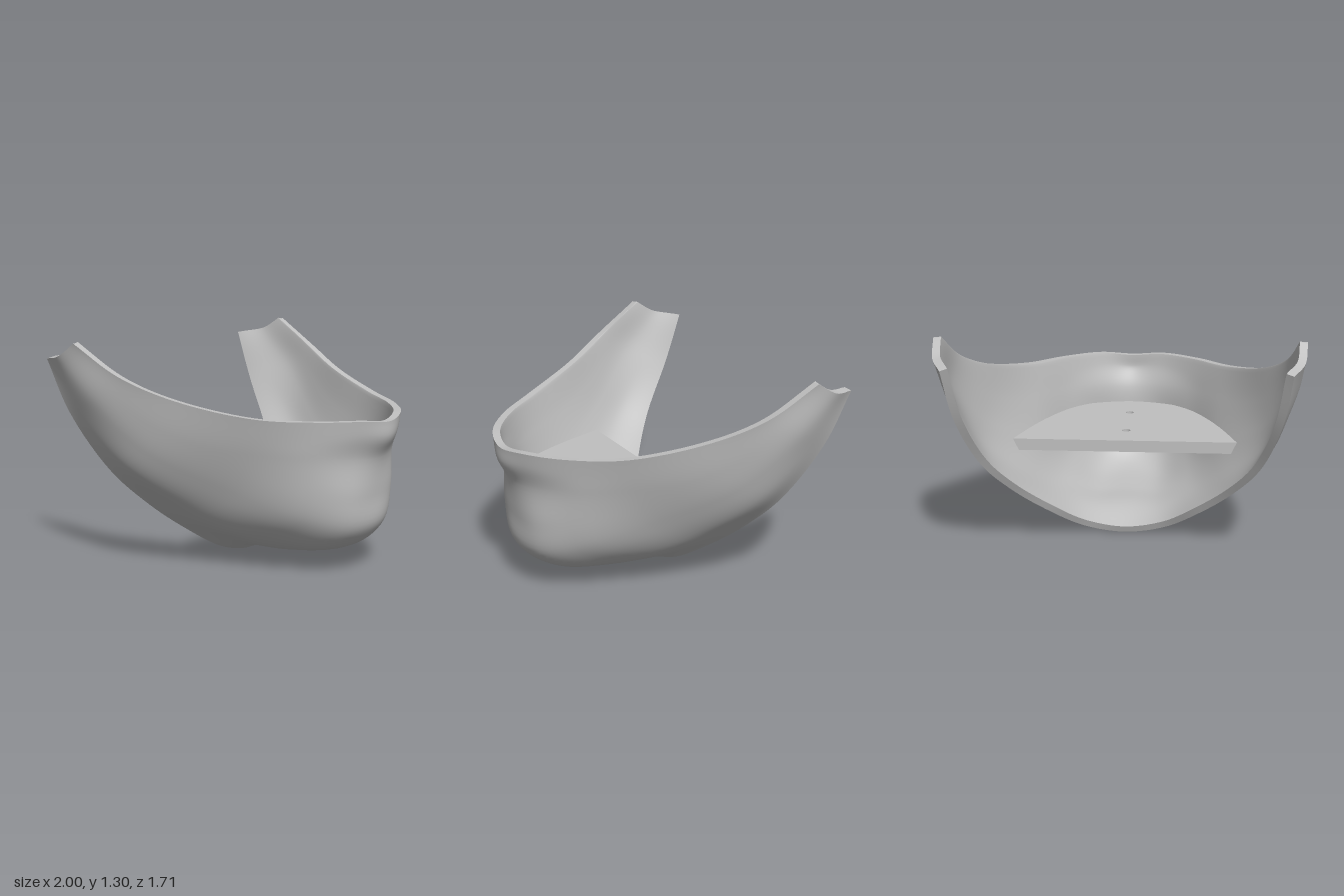
import * as THREE from 'three';

const grey = new THREE.MeshStandardMaterial({ color: 0xc0c0c0 });
grey.name = 'plain grey';

// Cross-sections of the outer skin on the left half, from the chin centre to
// the ear tip; each runs from the top rim down and back to the rear rim.
const SECTIONS = [
  [[0, .87, .85], [0, .78, .85], [0, .66, .795], [0, .45, .78], [0, .27, .77], [0, .145, .65], [0, .085, .35], [0, .07, .09], [0, 0, -.1]],
  [[.2, .89, .805], [.2, .8, .79], [.2, .67, .75], [.21, .46, .745], [.2, .27, .715], [.2, .15, .57], [.2, .095, .3], [.21, .085, .05], [.24, .05, -.135]],
  [[.42, .9, .645], [.41, .69, .605], [.385, .34, .53], [.4, .2, .2], [.46, .2, -.255]],
  [[.63, .92, .38], [.605, .72, .32], [.58, .49, .2], [.61, .37, -.05], [.64, .37, -.385]],
  [[.83, 1.01, 0], [.835, .84, -.09], [.84, .71, -.2], [.835, .62, -.34], [.775, .56, -.525]],
  [[.955, 1.13, -.28], [.963, .99, -.46], [.875, .88, -.725]],
  [[1, 1.295, -.56], [.98, 1.215, -.7], [.91, 1.185, -.86]],
];
const NU = 96, NV = 48, THICKNESS = 0.043;

// Smooth surface grid through the mirrored sections: grid[i][j], i from right to left
function outerGrid() {
  const mirrored = SECTIONS.slice(1).reverse().map(s => s.map(([x, y, z]) => [-x, y, z]));
  const curves = [...mirrored, ...SECTIONS].map(
    s => new THREE.CatmullRomCurve3(s.map(p => new THREE.Vector3(...p))));
  const grid = Array.from({ length: NU + 1 }, () => []);
  for (let j = 0; j <= NV; j++) {
    const across = new THREE.CatmullRomCurve3(curves.map(c => c.getPoint(j / NV)));
    for (let i = 0; i <= NU; i++) grid[i].push(across.getPoint(i / NU));
  }
  return grid;
}

// Indexed sheet from a grid of points, smooth within the sheet
function sheet(grid, flip = false) {
  const n = grid[0].length, index = [];
  for (let i = 0; i < grid.length - 1; i++) {
    for (let j = 0; j < n - 1; j++) {
      const a = i * n + j, b = a + 1, c = a + n, d = c + 1;
      if (flip) index.push(a, c, b, b, c, d);
      else index.push(a, b, c, b, d, c);
    }
  }
  const geo = new THREE.BufferGeometry().setFromPoints(grid.flat());
  geo.setIndex(index);
  geo.computeVertexNormals();
  return geo;
}

function part(name, geometry) {
  const mesh = new THREE.Mesh(geometry, grey);
  mesh.name = name;
  return mesh;
}

// Jaw-shaped shell: outer skin, offset lining and the cut edges between them
function buildShell() {
  const outer = outerGrid();
  const skin = sheet(outer);
  const normals = skin.attributes.normal;
  const inner = outer.map((row, i) => row.map((p, j) =>
    new THREE.Vector3().fromBufferAttribute(normals, i * (NV + 1) + j)
      .multiplyScalar(-THICKNESS).add(p)));
  // The top rim is cut level across the wall
  inner.forEach((row, i) => { row[0].y = outer[i][0].y; });

  const topRim = outer.map((row, i) => [row[0], inner[i][0]]);
  const rearRim = outer.map((row, i) => [row[NV], inner[i][NV]]);
  const earEdge = i => outer[i].map((p, j) => [p, inner[i][j]]);

  const shell = new THREE.Group();
  shell.name = 'jawShell';
  shell.add(
    part('outerSkin', skin),
    part('innerLining', sheet(inner, true)),
    part('topRim', sheet(topRim, true)),
    part('rearRim', sheet(rearRim)),
    part('rightEarEdge', sheet(earEdge(0))),
    part('leftEarEdge', sheet(earEdge(NU), true)));
  return shell;
}

// Flat mounting plate across the inside, with two screw holes
function buildPlate() {
  const half = [[.66, -.1], [.56, .2], [.42, .51], [.315, .63], [.18, .695], [0, .728]];
  const left = half.map(([x, z]) => new THREE.Vector2(x, z));
  const right = half.slice(0, -1).reverse().map(([x, z]) => new THREE.Vector2(-x, z));
  const outline = new THREE.Shape(new THREE.SplineCurve([...left, ...right]).getPoints(60));
  for (const z of [0.1, 0.475]) {
    outline.holes.push(new THREE.Path().absarc(0, z, 0.025, 0, Math.PI * 2, true));
  }
  const geo = new THREE.ExtrudeGeometry(outline, { depth: 0.07, bevelEnabled: false, curveSegments: 16 });
  geo.rotateX(Math.PI / 2);
  // The underside is slightly narrower, following the wall
  const pos = geo.attributes.position;
  for (let i = 0; i < pos.count; i++) {
    if (pos.getY(i) < -0.03) pos.setX(i, pos.getX(i) * 0.95);
  }
  geo.computeVertexNormals();
  geo.translate(0, 0.578, 0);
  return part('mountingPlate', geo);
}

export function createModel() {
  const model = new THREE.Group();
  model.name = 'jawGuard';
  model.add(buildShell(), buildPlate());
  return model;
}
